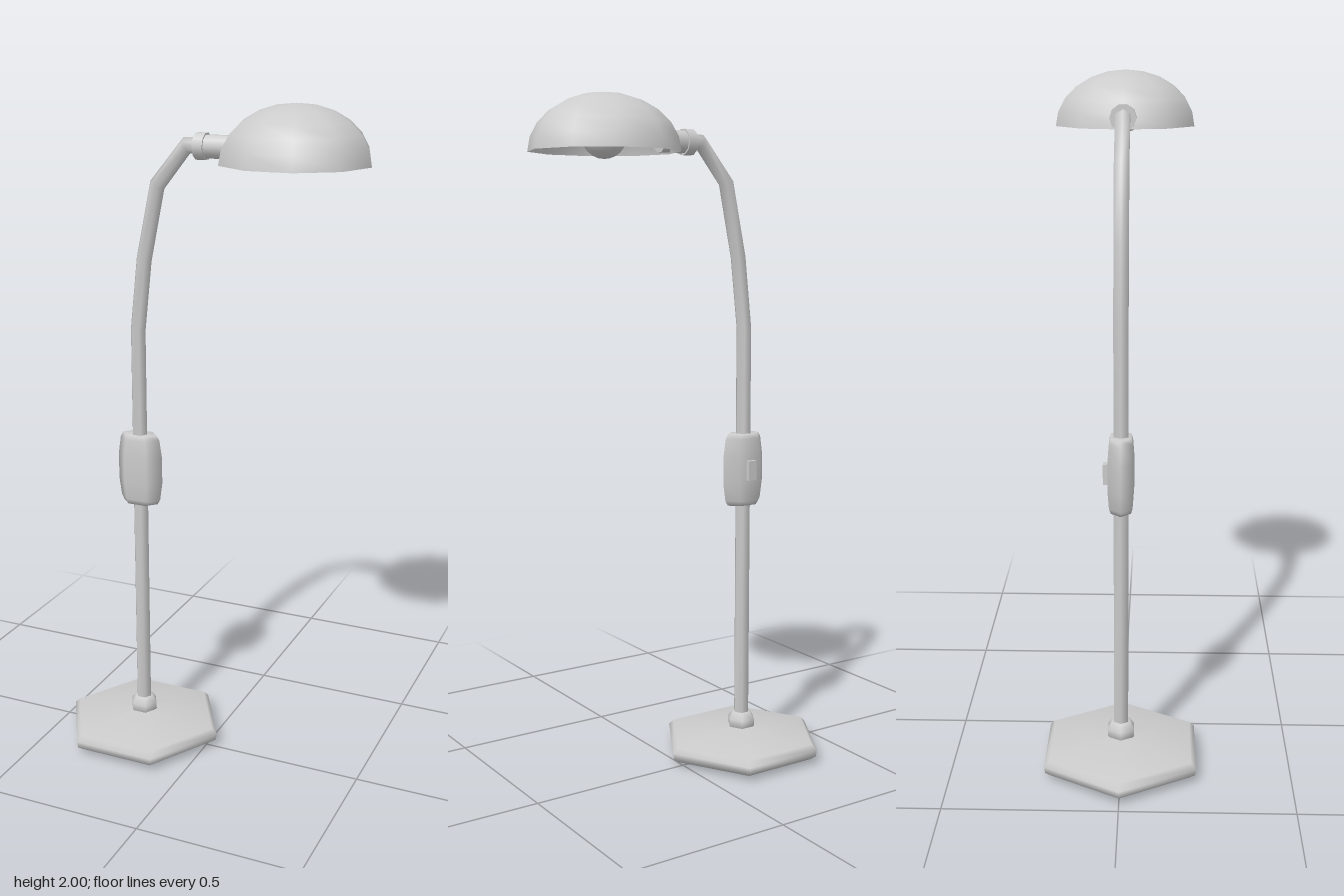
import * as THREE from 'three';

const grey = new THREE.MeshStandardMaterial({ color: 0xcccccc, side: THREE.DoubleSide });
const POLE_X = -0.22, SHADE_X = 0.26;

function add(group, name, geometry, x = 0, y = 0, z = 0) {
  const mesh = new THREE.Mesh(geometry, grey);
  mesh.name = name;
  mesh.position.set(x, y, z);
  group.add(mesh);
  return mesh;
}

// turned solid with a corner on the +x axis; profile is [radius, height] from bottom to top
function turned(profile, sides) {
  const points = profile.map(([r, y]) => new THREE.Vector2(r, y));
  return new THREE.LatheGeometry(points, sides, Math.PI / 2);
}

// tube with mitred joints along a path lying in the xy plane
function bentTube(path, radius, sides) {
  const pts = path.map(([x, y]) => new THREE.Vector2(x, y));
  const pos = [], index = [];
  pts.forEach((p, i) => {
    const a = p.clone().sub(pts[Math.max(i - 1, 0)]).normalize();
    const b = pts[Math.min(i + 1, pts.length - 1)].clone().sub(p).normalize();
    const t = a.add(b).normalize();
    for (let k = 0; k < sides; k++) {
      const angle = (k / sides) * Math.PI * 2;
      const u = Math.cos(angle) * radius;
      pos.push(p.x + t.y * u, p.y - t.x * u, -Math.sin(angle) * radius);
      if (i === 0) continue;
      const n = (k + 1) % sides, lo = (i - 1) * sides, hi = i * sides;
      index.push(lo + k, lo + n, hi + n, lo + k, hi + n, hi + k);
    }
  });
  const geometry = new THREE.BufferGeometry();
  geometry.setAttribute('position', new THREE.Float32BufferAttribute(pos, 3));
  geometry.setIndex(index);
  geometry.computeVertexNormals();
  return geometry;
}

export function createModel() {
  const lamp = new THREE.Group();
  lamp.name = 'floorLamp';

  // six-sided foot with bevelled rim, and the collar that holds the pole
  add(lamp, 'base', turned([
    [0, 0.005], [0.12, 0.008], [0.235, 0.018], [0.252, 0.03], [0.255, 0.05],
    [0.238, 0.066], [0.12, 0.08], [0.03, 0.092], [0, 0.092],
  ], 6), POLE_X);
  add(lamp, 'baseCollar', turned([
    [0.034, 0.08], [0.044, 0.095], [0.044, 0.115], [0.03, 0.136], [0, 0.138],
  ], 6), POLE_X);

  // pole curving over towards the shade
  add(lamp, 'pole', bentTube([
    [POLE_X, 0.09], [POLE_X, 1.0], [POLE_X, 1.34], [-0.197, 1.55],
    [-0.152, 1.765], [-0.06, 1.878], [0.0, 1.878],
  ], 0.024, 6));

  // flattened switch housing with the switch on its back
  const housing = add(lamp, 'switchHousing', turned([
    [0, 0.8], [0.056, 0.8], [0.065, 0.815], [0.073, 0.87],
    [0.073, 0.95], [0.065, 1.005], [0.056, 1.02], [0, 1.02],
  ], 6), POLE_X);
  housing.scale.z = 0.59;
  add(lamp, 'switch', new THREE.BoxGeometry(0.028, 0.06, 0.03), POLE_X, 0.91, -0.036);

  // socket joining pole and shade, in two steps
  const ring = add(lamp, 'socketRing', new THREE.CylinderGeometry(0.038, 0.038, 0.03, 10), -0.014, 1.877);
  const sleeve = add(lamp, 'socketSleeve', new THREE.CylinderGeometry(0.033, 0.033, 0.1, 10), 0.03, 1.877);
  ring.rotation.z = sleeve.rotation.z = -Math.PI / 2;

  // ten-sided open dome
  const dome = [];
  for (let i = 0; i <= 6; i++) {
    const a = (i / 6) * Math.PI / 2;
    dome.push([0.213 * Math.cos(a), 0.159 * Math.sin(a)]);
  }
  add(lamp, 'shade', turned(dome, 10), SHADE_X, 1.841);

  // bulb and its neck under the dome
  add(lamp, 'bulb', new THREE.SphereGeometry(0.064, 16, 12), SHADE_X, 1.885);
  add(lamp, 'bulbNeck', new THREE.CylinderGeometry(0.03, 0.03, 0.06, 10), SHADE_X, 1.96);

  return lamp;
}
